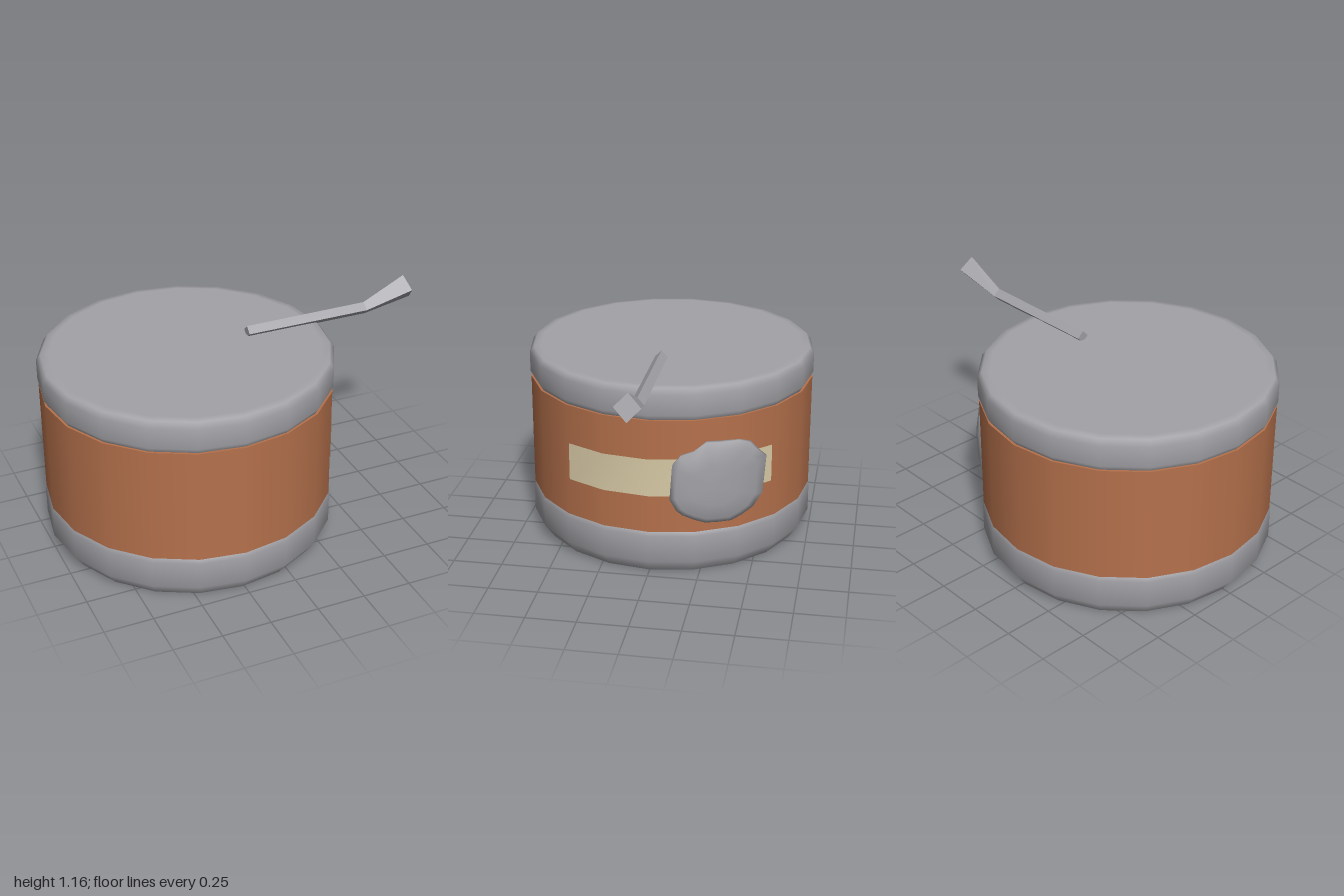
import * as THREE from 'three';

const CX = -0.26;          // drum axis
const SIDES = 20;
const BODY_R = 0.736;

const material = (name, color, side = THREE.FrontSide) => {
  const m = new THREE.MeshStandardMaterial({ color, side });
  m.name = name;
  return m;
};

// Skin a list of equal-length rings (counter-clockwise seen from the last ring) and cap both ends.
function loft(rings) {
  const n = rings[0].length;
  const points = rings.flat();
  const index = [];
  for (let r = 0; r < rings.length - 1; r++) {
    for (let k = 0; k < n; k++) {
      const a = r * n + k, b = r * n + (k + 1) % n;
      index.push(a, b, b + n, a, b + n, a + n);
    }
  }
  [0, rings.length - 1].forEach((r, end) => {
    const centre = rings[r].reduce((s, p) => s.add(p), new THREE.Vector3()).divideScalar(n);
    const c = points.push(centre) - 1;
    for (let k = 0; k < n; k++) {
      const a = r * n + k, b = r * n + (k + 1) % n;
      index.push(...(end ? [c, a, b] : [c, b, a]));
    }
  });
  const g = new THREE.BufferGeometry().setFromPoints(points);
  g.setIndex(index);
  g.computeVertexNormals();
  return g;
}

function lathe(profile) {
  return new THREE.LatheGeometry(profile.map(([r, y]) => new THREE.Vector2(r, y)), SIDES);
}

export function createModel() {
  const group = new THREE.Group();
  const grey = material('greyMetal', 0xa2a2a7);
  const copper = material('copperBrown', 0xb5714c);
  const tan = material('tanBand', 0xd8caa6, THREE.DoubleSide);

  const add = (name, geometry, mat, x = 0, y = 0) => {
    const mesh = new THREE.Mesh(geometry, mat);
    mesh.name = name;
    mesh.position.set(x, y, 0);
    group.add(mesh);
    return mesh;
  };

  // Rims and wall of the drum; repeated profile points keep an edge sharp
  add('baseRim', lathe([
    [0, 0], [0.69, 0], [0.69, 0], [0.74, 0.07], [0.74, 0.21], [0.722, 0.236],
    [0.722, 0.236], [0, 0.236],
  ]), grey, CX);
  add('lid', lathe([
    [0, 0.825], [0.722, 0.825], [0.722, 0.825], [0.74, 0.855], [0.74, 0.96],
    [0.718, 0.988], [0.68, 0.992], [0, 0.992],
  ]), grey, CX);
  add('wall', new THREE.CylinderGeometry(BODY_R, BODY_R, 0.594, SIDES), copper, CX, 0.531);

  // Thin band that follows the facets of the wall
  const step = 18;
  const onWall = (deg, y) => {
    const local = ((deg % step) + step) % step - step / 2;
    const rad = THREE.MathUtils.degToRad;
    const r = (BODY_R + 0.003) * Math.cos(rad(step / 2)) / Math.cos(rad(local));
    return new THREE.Vector3(CX + r * Math.cos(rad(deg)), y, r * Math.sin(rad(deg)));
  };
  const bandPoints = [], bandIndex = [];
  [34.8, 18, 0, -18, -36, -51.8].forEach((deg, i) => {
    bandPoints.push(onWall(deg, 0.43), onWall(deg, 0.626));
    const a = i * 2;
    if (i < 5) bandIndex.push(a, a + 2, a + 3, a, a + 3, a + 1);
  });
  const band = new THREE.BufferGeometry().setFromPoints(bandPoints);
  band.setIndex(bandIndex);
  band.computeVertexNormals();
  add('band', band, tan);

  // Uneven seal bent around the wall, outline as [z, y]
  const outline = [
    [-0.28, 0.715], [-0.22, 0.67], [-0.16, 0.65], [-0.12, 0.60], [-0.108, 0.42],
    [-0.14, 0.36], [-0.17, 0.335], [-0.22, 0.31], [-0.28, 0.287], [-0.34, 0.283],
    [-0.40, 0.28], [-0.45, 0.30], [-0.50, 0.33], [-0.54, 0.39], [-0.553, 0.58],
    [-0.51, 0.635], [-0.48, 0.68], [-0.43, 0.705], [-0.34, 0.71],
  ];
  const sealRings = [[1, 0.715], [1, 0.747], [0.86, 0.768], [0.5, 0.776], [0.15, 0.778]]
    .map(([s, radius]) => outline.map(([z, y]) => {
      const pz = -0.33 + (z + 0.33) * s;
      return new THREE.Vector3(CX + Math.sqrt(radius * radius - pz * pz), 0.495 + (y - 0.495) * s, pz);
    }));
  add('seal', loft(sealRings), grey);

  // Stick with a diamond section and a flared, raised end: [x, y, half size, tilt in x]
  const stickRings = [[0.07, 1.01, 0.032, 0], [0.735, 1.012, 0.033, 0.005], [0.978, 1.092, 0.064, 0.022]]
    .map(([x, y, h, tilt]) => [
      new THREE.Vector3(x - tilt, y + h, 0),
      new THREE.Vector3(x, y, h),
      new THREE.Vector3(x + tilt, y - h, 0),
      new THREE.Vector3(x, y, -h),
    ]);
  const stick = loft(stickRings).toNonIndexed();
  stick.computeVertexNormals();
  add('stick', stick, grey);

  return group;
}
